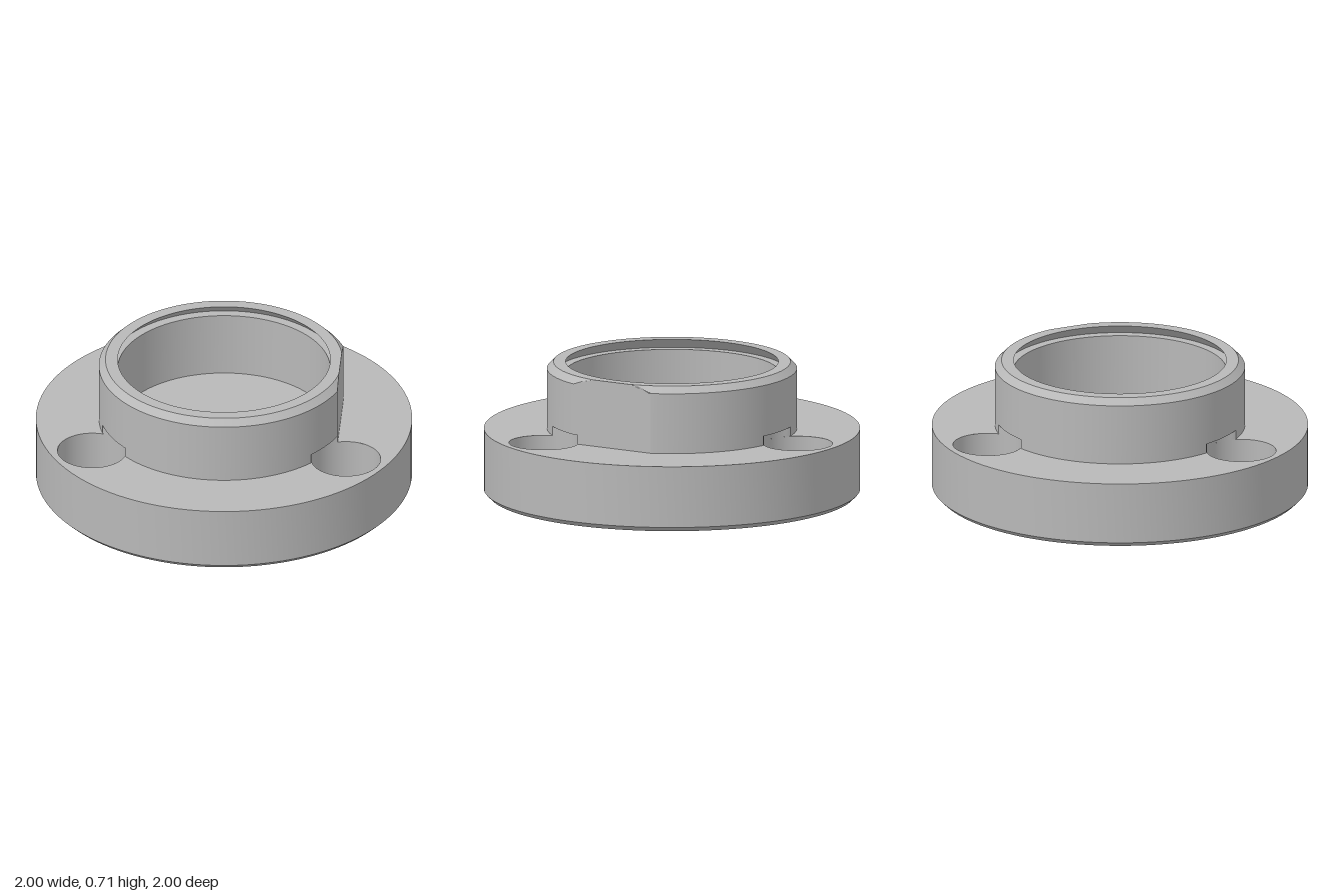
import * as THREE from 'three';
import { toCreasedNormals } from 'three/addons/utils/BufferGeometryUtils.js';

const HOLE_R = 0.185, HOLE_DIST = 0.78, FLANGE_TOP = 0.355, FLAT_X = 0.62;
const holeAngles = [-90, 30, 150].map(THREE.MathUtils.degToRad);

// Boss radius at an angle: clipped by the side flat and, low down, by the bolt holes
function clippedRadius(angle, radius, notched) {
  let r = radius;
  if (Math.cos(angle) > 0) r = Math.min(r, FLAT_X / Math.cos(angle));
  if (notched) {
    for (const h of holeAngles) {
      const along = HOLE_DIST * Math.cos(angle - h);
      const off = HOLE_DIST * Math.sin(angle - h);
      if (along > 0 && Math.abs(off) < HOLE_R) {
        r = Math.min(r, along - Math.sqrt(HOLE_R * HOLE_R - off * off));
      }
    }
  }
  return r;
}

// Skin through rows of [radius, height, notched]
function skin(rows, steps = 360) {
  const point = ([r, y, notched], j) => {
    const a = ((j % steps) / steps) * Math.PI * 2;
    const rr = clippedRadius(a, r, notched);
    return new THREE.Vector3(rr * Math.cos(a), y, rr * Math.sin(a));
  };
  const positions = [];
  const tri = new THREE.Triangle();
  const add = (a, b, c) => {
    if (tri.set(a, b, c).getArea() > 1e-9) positions.push(...a, ...b, ...c);
  };
  for (let i = 0; i + 1 < rows.length; i++) {
    for (let j = 0; j < steps; j++) {
      const a = point(rows[i], j), b = point(rows[i], j + 1);
      const c = point(rows[i + 1], j), d = point(rows[i + 1], j + 1);
      add(a, c, b);
      add(b, c, d);
    }
  }
  const g = new THREE.BufferGeometry();
  g.setAttribute('position', new THREE.Float32BufferAttribute(positions, 3));
  return toCreasedNormals(g, THREE.MathUtils.degToRad(15));
}

// Flat disc with the three bolt holes; side is 1 for facing up, -1 for facing down
function drilledDisc(radius, y, side, centreHole) {
  const shape = new THREE.Shape().absarc(0, 0, radius, 0, Math.PI * 2);
  const cut = (x, z, r) =>
    shape.holes.push(new THREE.Path().absarc(x, -side * z, r, 0, Math.PI * 2, true));
  for (const h of holeAngles) cut(HOLE_DIST * Math.cos(h), HOLE_DIST * Math.sin(h), HOLE_R);
  if (centreHole) cut(0, 0, centreHole);
  return new THREE.ShapeGeometry(shape, 64).rotateX(-side * Math.PI / 2).translate(0, y, 0);
}

export function createModel() {
  const group = new THREE.Group();
  const metal = new THREE.MeshStandardMaterial({ color: 0xb8b8b8, side: THREE.DoubleSide });
  metal.name = 'grey metal';
  const part = (name, geometry) => {
    const mesh = new THREE.Mesh(geometry, metal);
    mesh.name = name;
    group.add(mesh);
    return mesh;
  };

  // Flange with chamfered lower edge
  const rim = new THREE.LatheGeometry(
    [[0.975, 0], [1, 0.025], [1, FLANGE_TOP]].map(p => new THREE.Vector2(...p)), 128);
  part('flangeRim', toCreasedNormals(rim, 0.4));
  part('flangeTop', drilledDisc(1, FLANGE_TOP, 1, 0.58));
  part('flangeUnderside', drilledDisc(0.975, 0, -1));

  // Bolt hole walls
  holeAngles.forEach(h => {
    const wall = part('boltHole',
      new THREE.CylinderGeometry(HOLE_R, HOLE_R, FLANGE_TOP, 64, 1, true));
    wall.position.set(HOLE_DIST * Math.cos(h), FLANGE_TOP / 2, HOLE_DIST * Math.sin(h));
  });

  // Boss outside: notches over the holes, wall, chamfer cut by the flat, top ring
  const outside = [[0.665, FLANGE_TOP, true], [0.665, 0.405, true], [0.665, 0.405]];
  for (let i = 0; i <= 8; i++) outside.push([0.665 - 0.035 * i / 8, 0.68 + 0.035 * i / 8]);
  part('boss', skin([...outside, [0.565, 0.715]]));

  // Cup inside: undercut groove below the lip, bore and floor
  part('cup', skin([[0.565, 0.715], [0.617, 0.661], [0.565, 0.661], [0.565, 0.31], [0, 0.31]]));

  return group;
}
